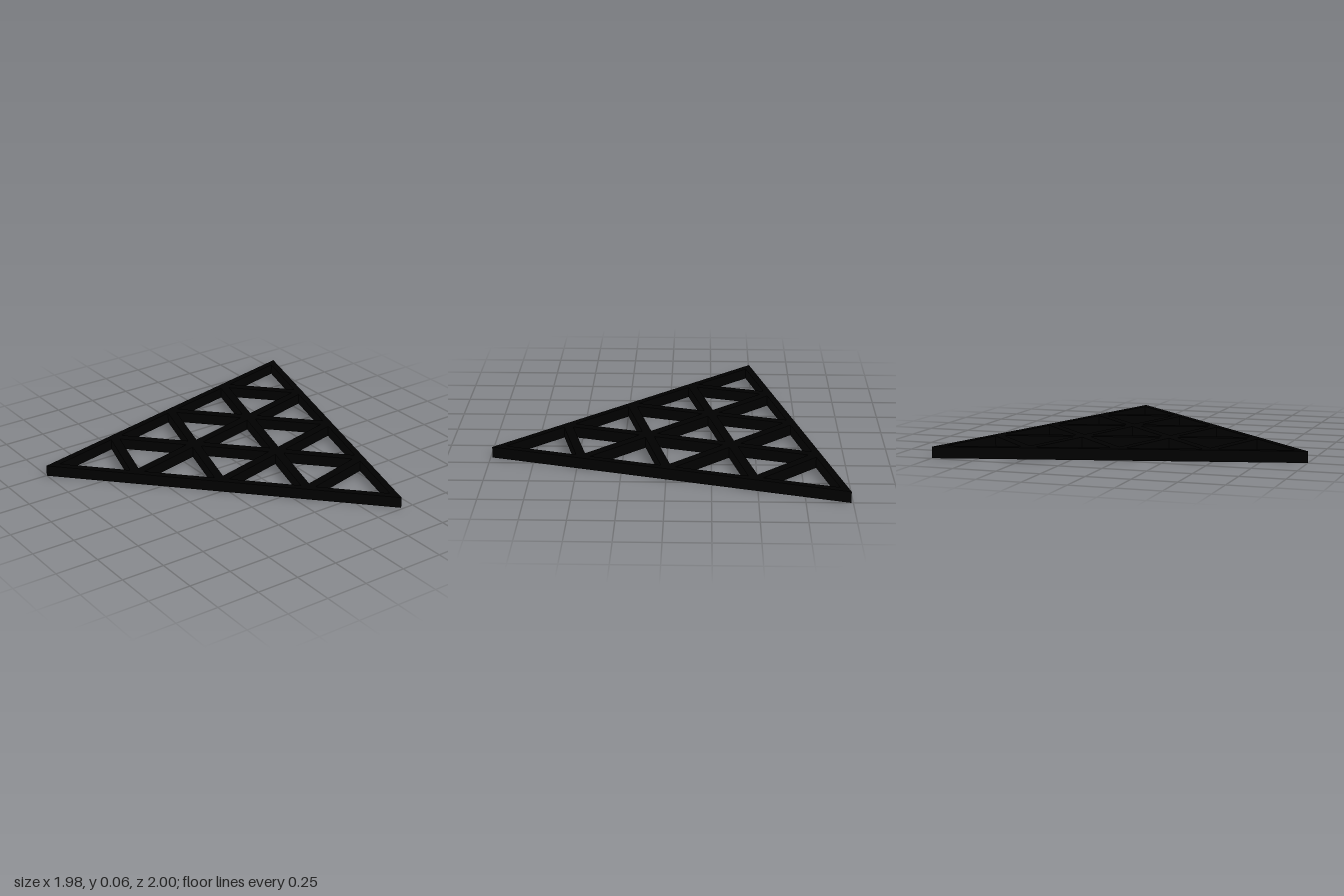
import * as THREE from 'three';

const ROWS = 4;              // cells along each side
const SIDE = 2.06;           // outer side length
const HEIGHT = 0.064;
const FRAME_HALF = 0.02;     // half width of the outer bars
const STRUT_HALF = 0.026;    // half width of the inner struts
const TURN = THREE.MathUtils.degToRad(16.2);

export function createModel() {
  const group = new THREE.Group();
  group.name = 'triangularTruss';

  // Plan directions of two sides, in (x, z), from the back right corner
  const u = new THREE.Vector2(Math.cos(TURN), Math.sin(TURN));
  const v = new THREE.Vector2(Math.cos(TURN + Math.PI / 3), Math.sin(TURN + Math.PI / 3));
  const corner = new THREE.Vector2(-SIDE * u.x / 2, -SIDE * v.y / 2);
  const at = (origin, a, b) => origin.clone().addScaledVector(u, a).addScaledVector(v, b);
  // Shapes are drawn in (x, -z), so that laying them flat restores z
  const flip = (p) => new THREE.Vector2(p.x, -p.y);

  // Outer outline, counterclockwise
  const outline = new THREE.Shape([corner, at(corner, 0, SIDE), at(corner, SIDE, 0)].map(flip));

  // Grid of nodes along the bar centre lines
  const cell = (SIDE - 2 * Math.sqrt(3) * FRAME_HALF) / ROWS;
  const cellHeight = cell * Math.sqrt(3) / 2;
  const inset = FRAME_HALF * 2 / Math.sqrt(3);
  const origin = at(corner, inset, inset);
  const node = (i, j) => at(origin, i * cell, j * cell);

  // Opening in one cell, clockwise; onFrame[k] tells if the edge opposite corner k is an outer bar
  function addOpening(corners, onFrame) {
    const d = onFrame.map((f) => (f ? FRAME_HALF : STRUT_HALF) / cellHeight);
    const points = corners.map((_, k) => {
      const w = [...d];
      w[k] = 1 - d[(k + 1) % 3] - d[(k + 2) % 3];
      const p = new THREE.Vector2();
      corners.forEach((c, m) => p.addScaledVector(c, w[m]));
      return flip(p);
    });
    outline.holes.push(new THREE.Path(points));
  }

  for (let i = 0; i < ROWS; i++) {
    for (let j = 0; i + j < ROWS; j++) {
      addOpening([node(i, j), node(i + 1, j), node(i, j + 1)],
        [i + j === ROWS - 1, i === 0, j === 0]);
      if (i + j < ROWS - 1) {
        addOpening([node(i + 1, j), node(i + 1, j + 1), node(i, j + 1)],
          [false, false, false]);
      }
    }
  }

  // Frame and struts in one solid
  const geometry = new THREE.ExtrudeGeometry(outline, { depth: HEIGHT, bevelEnabled: false });
  geometry.rotateX(-Math.PI / 2);
  const lattice = new THREE.Mesh(geometry, new THREE.MeshStandardMaterial({ color: 0x000000 }));
  lattice.name = 'frameAndStruts';
  group.add(lattice);
  return group;
}
